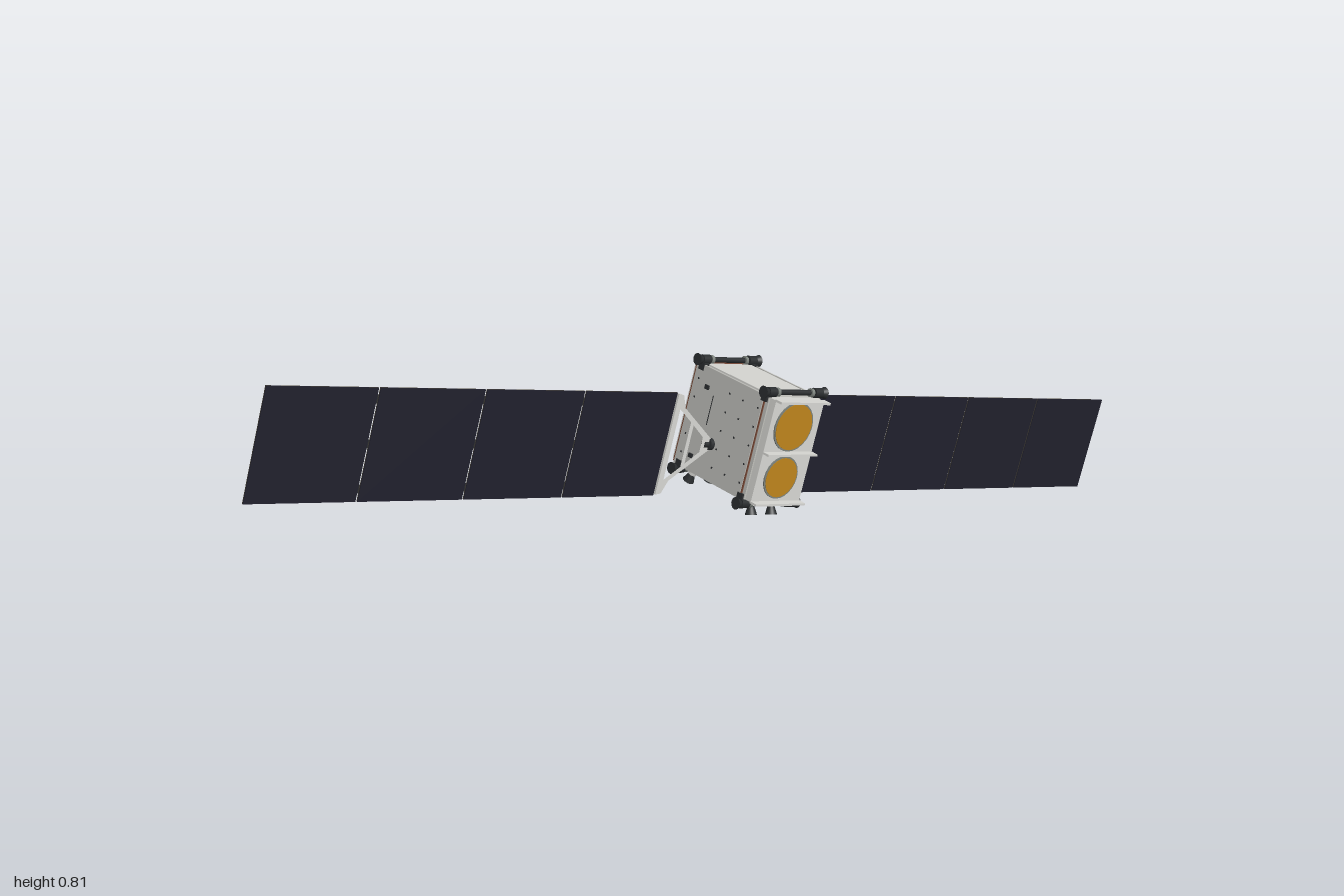
import * as THREE from 'three';

const mat = (name, color) => Object.assign(new THREE.MeshStandardMaterial({ color }), { name });

export function createModel() {
  const M = {
    body: mat('body grey', 0xbfbfba),
    light: mat('light panel', 0xd6d6d2),
    dark: mat('thruster black', 0x2a2d2f),
    cell: mat('solar cell navy', 0x20202c),
    back: mat('panel back olive', 0x48433a),
    gold: mat('antenna gold', 0xbd841c),
    radiator: mat('radiator grey green', 0x7c827d),
    trim: mat('copper trim', 0x7a4a38),
  };
  const root = new THREE.Group();
  root.name = 'satellite';
  const sat = new THREE.Group();
  sat.name = 'tiltedSatellite';
  sat.position.y = 0.408;
  sat.rotation.z = -Math.PI / 10;
  root.add(sat);

  const add = (parent, name, geo, material, x, y, z) => {
    const m = new THREE.Mesh(geo, material);
    m.name = name;
    m.position.set(x, y, z);
    parent.add(m);
    return m;
  };
  const box = (parent, name, material, w, h, d, x, y, z) =>
    add(parent, name, new THREE.BoxGeometry(w, h, d), material, x, y, z);
  const cyl = (parent, name, material, r1, r2, h, x, y, z, axis = 'y') => {
    const g = new THREE.CylinderGeometry(r1, r2, h, 24);
    if (axis === 'x') g.rotateZ(-Math.PI / 2);
    if (axis === 'z') g.rotateX(Math.PI / 2);
    return add(parent, name, g, material, x, y, z);
  };

  // Bus: core, front slab and back plate
  const bus = new THREE.Group();
  bus.name = 'bus';
  bus.position.y = 0.031;
  sat.add(bus);
  box(bus, 'core', M.body, 0.126, 0.19, 0.196, 0, 0, -0.008);
  box(bus, 'frontSlab', M.light, 0.12, 0.19, 0.02, 0, 0, 0.095);
  box(bus, 'backPlate', M.light, 0.118, 0.182, 0.01, 0, 0, -0.11);
  for (const s of [-1, 1]) {
    box(bus, 'sidePanel', M.body, 0.004, 0.194, 0.182, s * 0.064, 0, -0.012);
    box(bus, 'endPanel', M.light, 0.108, 0.004, 0.15, 0, s * 0.096, -0.016);
    for (const z of [0.064, -0.096]) box(bus, 'endTrim', M.trim, 0.112, 0.003, 0.004, 0, s * 0.0965, z);
    for (const z of [0.081, -0.105]) box(bus, 'sideTrim', M.trim, 0.003, 0.186, 0.003, s * 0.0635, 0, z);
    // Wing drive hub
    cyl(bus, 'driveHub', M.dark, 0.011, 0.011, 0.01, s * 0.069, -0.031, -0.021, 'x');
    // Rivet rows and small fittings on the side panels
    for (const z of [0.072, 0.032, -0.004, -0.09])
      for (let i = 0; i < 5; i++)
        box(bus, 'rivet', M.dark, 0.002, 0.003, 0.003, s * 0.066, -0.07 + i * 0.035, z);
    for (const y of [-0.068, 0.062]) box(bus, 'sideFitting', M.dark, 0.004, 0.008, 0.01, s * 0.067, y, -0.063);
    box(bus, 'sideSeam', M.dark, 0.0015, 0.055, 0.0015, s * 0.066, 0.025, -0.043);
  }

  // Front antennas: gold discs between three thin fins
  for (const [y, r] of [[0.047, 0.043], [-0.048, 0.037]]) {
    cyl(bus, 'antennaRim', M.radiator, r + 0.003, r + 0.003, 0.004, -0.003, y, 0.1055, 'z');
    cyl(bus, 'antennaDisc', M.gold, r, r, 0.006, -0.003, y, 0.1055, 'z');
  }
  for (const y of [-0.095, -0.002, 0.095]) box(bus, 'frontFin', M.light, 0.122, 0.004, 0.017, 0, y, 0.112);

  // Rear radiators
  for (const y of [-0.043, 0.043]) {
    box(bus, 'radiatorFrame', M.body, 0.086, 0.064, 0.004, 0, y, -0.115);
    box(bus, 'radiator', M.radiator, 0.076, 0.054, 0.005, 0, y, -0.116);
  }

  // Thruster rails with end nozzles along the four long edges
  for (const sy of [-1, 1])
    for (const z of [0.085, -0.095]) {
      const y = sy * 0.104;
      cyl(bus, 'rail', M.dark, 0.005, 0.005, 0.13, 0, y, z, 'x');
      for (const sx of [-1, 1]) {
        cyl(bus, 'railCollar', M.radiator, 0.008, 0.008, 0.006, sx * 0.042, y, z, 'x');
        cyl(bus, 'thrusterBody', M.dark, 0.009, 0.009, 0.018, sx * 0.057, y, z, 'x');
        cyl(bus, 'thrusterNozzle', M.dark, sx > 0 ? 0.011 : 0.007, sx > 0 ? 0.007 : 0.011, 0.01, sx * 0.071, y, z, 'x');
        box(bus, 'cornerBracket', M.dark, 0.012, 0.014, 0.014, sx * 0.061, sy * 0.093, z * 0.95);
      }
    }

  // Angled nozzles under the bus
  for (const sx of [-1, 1])
    for (const z of [0.068, -0.085]) {
      const n = new THREE.Group();
      n.name = 'lowerThruster';
      n.position.set(sx * 0.025, -0.098, z);
      n.rotation.x = z > 0 ? -0.35 : 0.35;
      bus.add(n);
      cyl(n, 'mount', M.light, 0.008, 0.008, 0.018, 0, -0.008, 0);
      cyl(n, 'nozzle', M.dark, 0.006, 0.011, 0.016, 0, -0.025, 0);
    }

  // Yoke outline with two openings
  const path = (P, pts) => {
    const p = new P();
    p.setFromPoints(pts.map(([x, y]) => new THREE.Vector2(x, y)));
    p.closePath();
    return p;
  };
  const mirror = (pts) => [...pts, ...pts.slice().reverse().map(([x, y]) => [x, -y])];
  const yoke = path(THREE.Shape, mirror([[0.07, 0.01], [0.15, 0.068], [0.161, 0.092], [0.173, 0.094]]));
  yoke.holes.push(
    path(THREE.Path, mirror([[0.092, 0.014], [0.121, 0.036]])),
    path(THREE.Path, mirror([[0.129, 0.042], [0.151, 0.058], [0.162, 0.066]])),
  );
  const yokeGeo = new THREE.ExtrudeGeometry(yoke, { depth: 0.006, bevelEnabled: false });

  // Solar wings: yoke, four panels and hinges; the second is turned about z
  const pitch = 0.211, start = 0.174;
  for (const right of [false, true]) {
    const wing = new THREE.Group();
    wing.name = right ? 'rightWing' : 'leftWing';
    wing.position.z = -0.021;
    if (right) wing.rotation.z = Math.PI;
    sat.add(wing);
    add(wing, 'yoke', yokeGeo, M.light, 0, 0, -0.003);
    cyl(wing, 'driveShaft', M.dark, 0.006, 0.006, 0.02, 0.074, 0, 0, 'x');
    for (let i = 0; i < 4; i++) {
      const x = start + pitch * (i + 0.5);
      box(wing, 'solarCells', M.cell, pitch - 0.004, 0.192, 0.0016, x, 0, 0.0008);
      box(wing, 'panelBack', M.back, pitch - 0.004, 0.192, 0.0016, x, 0, -0.0008);
      for (const y of [-0.076, 0, 0.076])
        box(wing, 'hinge', M.dark, 0.012, 0.014, 0.003, start + pitch * i, y, -0.003);
    }
  }
  return root;
}
